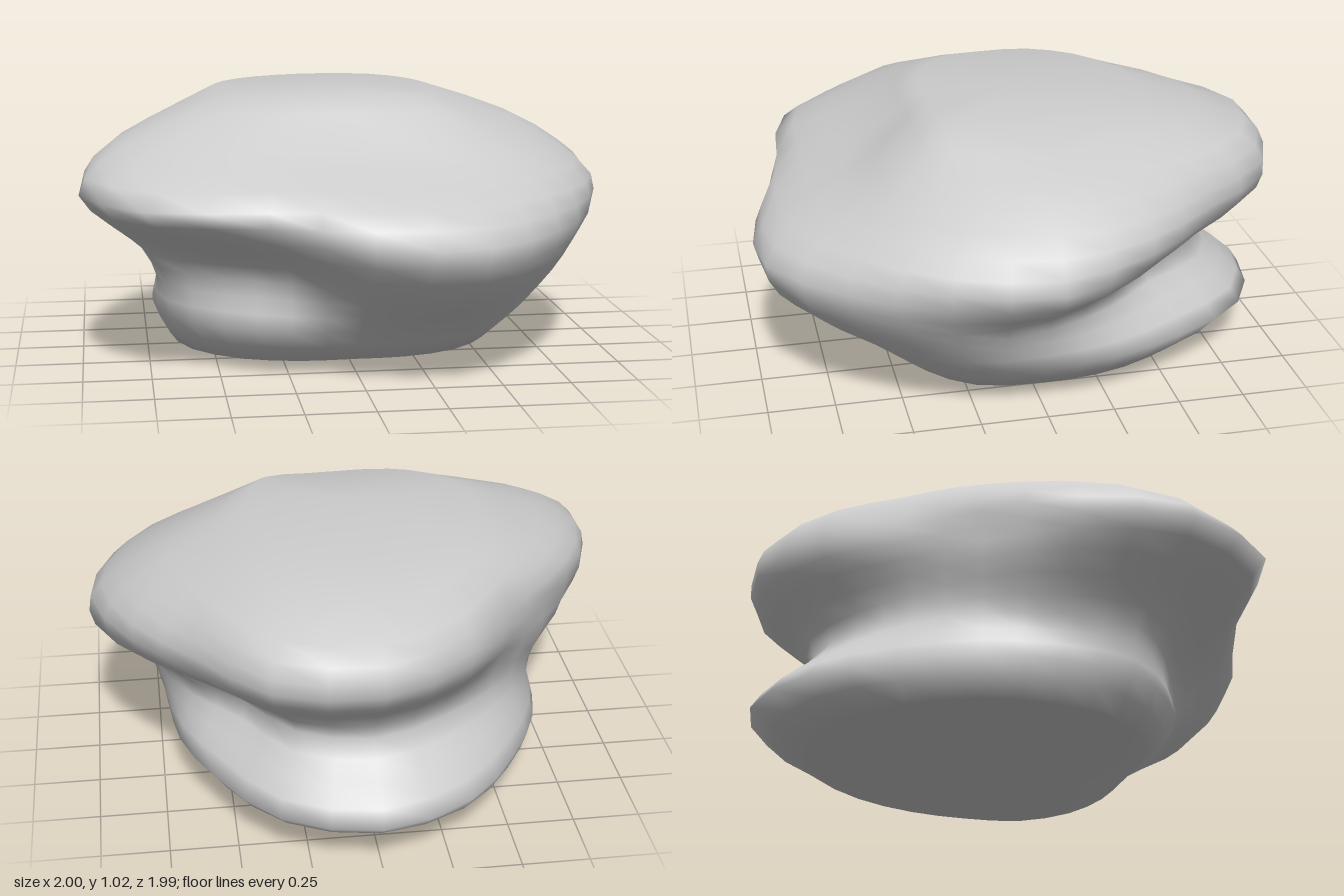
import * as THREE from 'three';
import { mergeVertices } from 'three/addons/utils/BufferGeometryUtils.js';

// Heights of the horizontal cross-sections, bottom to top
const HEIGHTS = [0.04, 0.18, 0.3, 0.42, 0.55, 0.67, 0.78, 0.89, 1.0];

// Radius every 22.5 degrees, starting at +x and turning towards +z
const RADII = [
  [0.57, 0.58, 0.55, 0.50, 0.47, 0.51, 0.58, 0.64, 0.66, 0.69, 0.72, 0.76, 0.76, 0.73, 0.66, 0.60], // foot
  [0.71, 0.73, 0.72, 0.65, 0.61, 0.65, 0.69, 0.73, 0.73, 0.75, 0.79, 0.90, 0.98, 0.93, 0.80, 0.74], // lower bulge
  [0.74, 0.82, 0.85, 0.86, 0.74, 0.64, 0.67, 0.74, 0.71, 0.71, 0.73, 0.79, 0.87, 0.83, 0.70, 0.70],
  [0.79, 0.90, 0.95, 1.00, 0.88, 0.68, 0.71, 0.80, 0.76, 0.71, 0.67, 0.69, 0.75, 0.72, 0.62, 0.68], // notch
  [0.98, 0.98, 1.00, 1.05, 0.97, 0.87, 0.94, 0.96, 0.86, 0.76, 0.70, 0.75, 0.82, 0.83, 0.77, 0.84], // nose
  [0.99, 0.97, 0.94, 0.93, 0.89, 0.92, 1.10, 1.08, 0.92, 0.77, 0.75, 0.85, 0.96, 0.97, 0.88, 0.92], // widest ridge
  [0.88, 0.83, 0.77, 0.68, 0.63, 0.70, 0.90, 1.00, 0.90, 0.78, 0.74, 0.87, 0.99, 0.99, 0.87, 0.87],
  [0.69, 0.63, 0.59, 0.51, 0.45, 0.50, 0.63, 0.78, 0.74, 0.69, 0.69, 0.80, 0.92, 0.90, 0.78, 0.71],
  [0.37, 0.39, 0.41, 0.33, 0.31, 0.34, 0.40, 0.46, 0.47, 0.50, 0.51, 0.51, 0.51, 0.50, 0.44, 0.39], // crown
];

const AROUND = 32;
const ROWS = (HEIGHTS.length - 1) * 2; // skin rows between foot and crown
const STRIDE = ROWS + 3; // plus the crown ring and both poles

// Smooth closed outline of one cross-section
function sectionCurve(radii, y) {
  const points = radii.map((r, i) => {
    const a = (i / radii.length) * Math.PI * 2;
    return new THREE.Vector3(r * Math.cos(a), y, r * Math.sin(a));
  });
  return new THREE.CatmullRomCurve3(points, true);
}

// Skin: a smooth profile through the sections at each angle, closed by shallow cones
function boulderGeometry() {
  const sections = RADII.map((radii, j) => sectionCurve(radii, HEIGHTS[j]));
  const positions = [];
  const indices = [];
  for (let i = 0; i < AROUND; i++) {
    const profile = new THREE.CatmullRomCurve3(sections.map((s) => s.getPoint(i / AROUND)));
    const column = [new THREE.Vector3(0, 0, 0)];
    for (let j = 0; j <= ROWS; j++) column.push(profile.getPoint(j / ROWS));
    column.push(new THREE.Vector3(0, 1.02, 0));

    const next = (i + 1) % AROUND;
    column.forEach((p, j) => {
      positions.push(p.x, p.y, p.z);
      const a = i * STRIDE + j;
      const b = next * STRIDE + j;
      if (j < STRIDE - 2) indices.push(a, a + 1, b + 1);
      if (j > 0 && j < STRIDE - 1) indices.push(a, b + 1, b);
    });
  }
  const geometry = new THREE.BufferGeometry();
  geometry.setAttribute('position', new THREE.Float32BufferAttribute(positions, 3));
  geometry.setIndex(indices);
  const welded = mergeVertices(geometry, 1e-4); // joins the poles
  welded.computeVertexNormals();
  return welded;
}

export function createModel() {
  const group = new THREE.Group();
  group.name = 'rock';
  const stone = new THREE.MeshStandardMaterial({ color: 0xcccccc });
  const boulder = new THREE.Mesh(boulderGeometry(), stone);
  boulder.name = 'boulder';
  group.add(boulder);
  return group;
}
